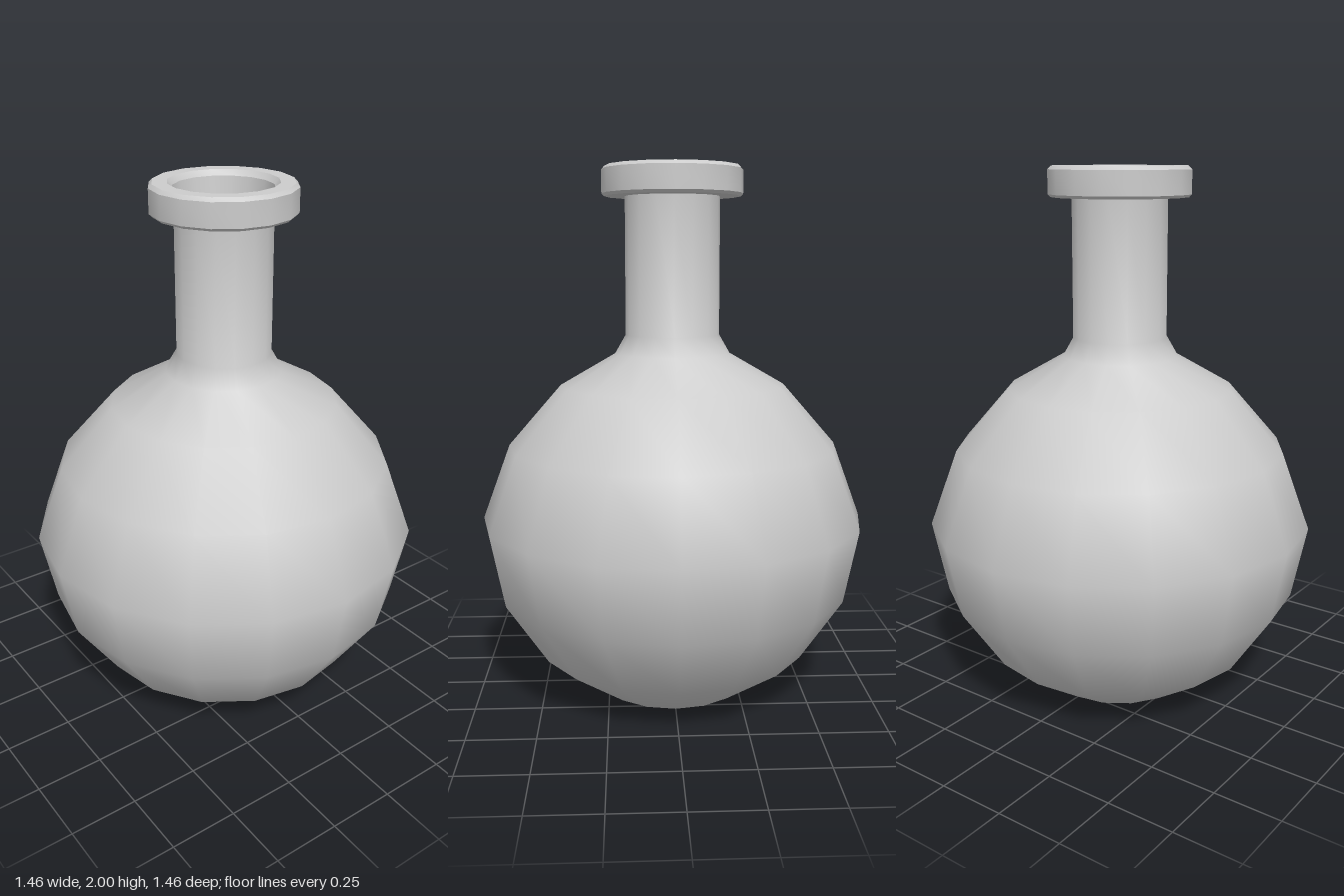
import * as THREE from 'three';
import { toCreasedNormals } from 'three/addons/utils/BufferGeometryUtils.js';

const SIDES = 16;

export function createModel() {
  const group = new THREE.Group();
  group.name = 'flask';
  const material = new THREE.MeshStandardMaterial({ color: 0xcccccc });

  // Revolves a [radius, height] profile, keeping edges sharper than 40 degrees
  const addLathe = (name, profile) => {
    const points = profile.map(([r, y]) => new THREE.Vector2(r, y));
    const geometry = toCreasedNormals(new THREE.LatheGeometry(points, SIDES), THREE.MathUtils.degToRad(40));
    const mesh = new THREE.Mesh(geometry, material);
    mesh.name = name;
    group.add(mesh);
  };

  // Round bulb with a flat base, flowing into the straight neck
  addLathe('bodyAndNeck', [
    [0, 0], [0.28, 0], [0.515, 0.16], [0.675, 0.4], [0.73, 0.675],
    [0.625, 0.96], [0.425, 1.19], [0.217, 1.31], [0.177, 1.38], [0.177, 1.89],
  ]);

  // Bevelled collar around the mouth
  addLathe('rim', [
    [0.177, 1.89], [0.253, 1.89], [0.263, 1.9], [0.263, 1.987],
    [0.25, 2], [0.197, 2], [0.18, 1.98],
  ]);

  // Tapering bore inside the neck, closed by a flat floor
  addLathe('bore', [[0.18, 1.98], [0.103, 1.38], [0, 1.38]]);

  return group;
}
